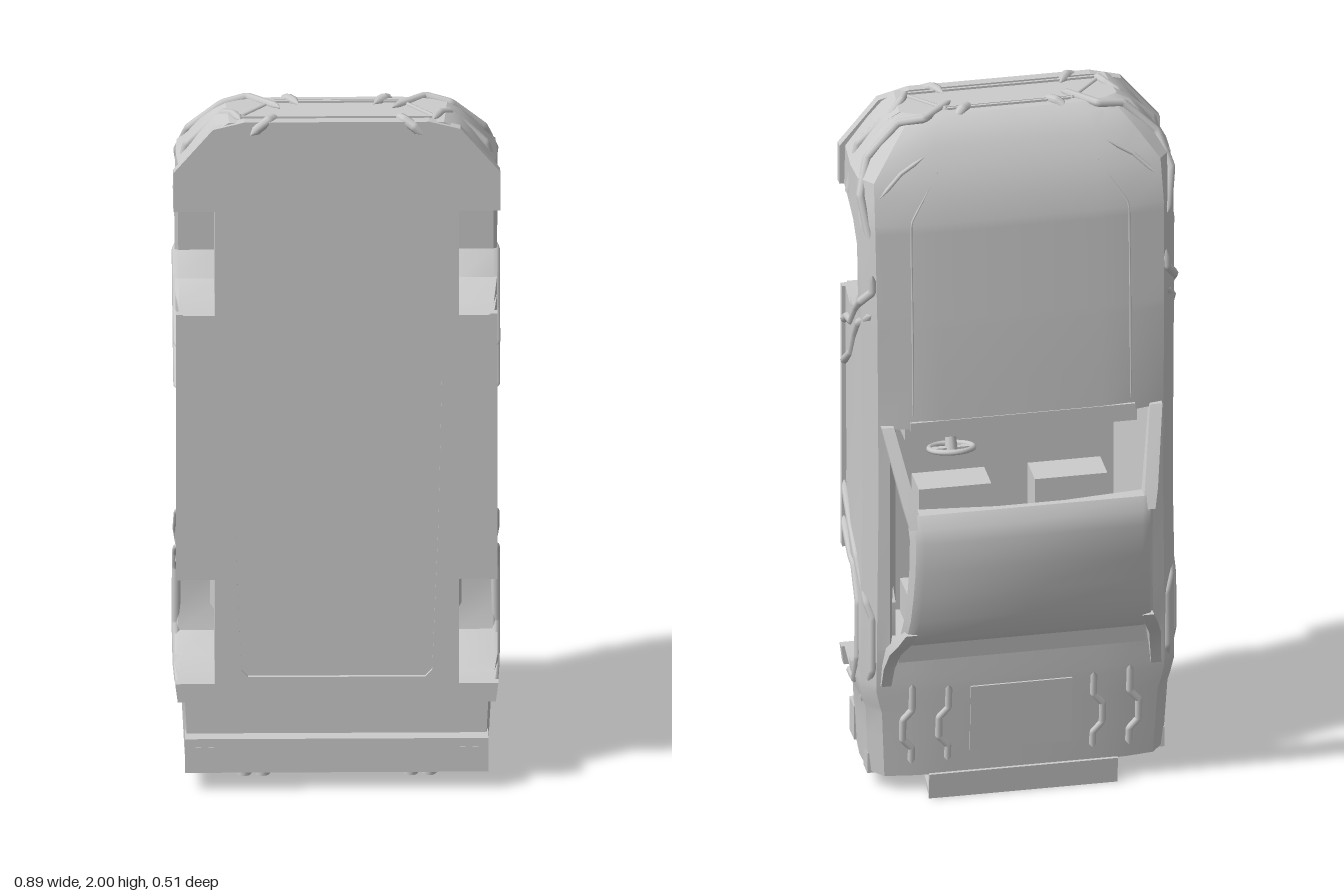
import * as THREE from 'three';
import { toCreasedNormals } from 'three/addons/utils/BufferGeometryUtils.js';

const mat = new THREE.MeshStandardMaterial({ color: 0xcccccc, side: THREE.DoubleSide });

// linear lookup in a table of [key, value]
function look(table, k) {
  for (let i = 1; i < table.length; i++) {
    const [k0, v0] = table[i - 1], [k1, v1] = table[i];
    if (k <= k1) return v0 + (v1 - v0) * Math.max(0, (k - k0) / (k1 - k0));
  }
  return table[table.length - 1][1];
}

// skin over closed rings of equal length, with both ends closed
function loft(rings, crease) {
  const centre = (r) => {
    const c = r[0].map((v, k) => (v + r[r.length / 2][k]) / 2);
    return r.map(() => c);
  };
  const all = [centre(rings[0]), ...rings, centre(rings[rings.length - 1])];
  const pos = [];
  const V = (p) => new THREE.Vector3(...p);
  const tri = (a, b, c) => {
    const area = V(b).sub(V(a)).cross(V(c).sub(V(a))).length();
    if (area > 1e-7) pos.push(...a, ...b, ...c);
  };
  for (let j = 0; j + 1 < all.length; j++) {
    const n = all[j].length;
    for (let i = 0; i < n; i++) {
      const k = (i + 1) % n;
      tri(all[j][i], all[j][k], all[j + 1][k]);
      tri(all[j][i], all[j + 1][k], all[j + 1][i]);
    }
  }
  const g = new THREE.BufferGeometry();
  g.setAttribute('position', new THREE.Float32BufferAttribute(pos, 3));
  return toCreasedNormals(g, crease);
}

// half outline (x >= 0) turned into a full ring at height y
const mirrorRing = (half, y) => [
  ...half.map(([x, z]) => [x, y, z]),
  ...half.slice(1, -1).reverse().map(([x, z]) => [-x, y, z]),
];

// straight-legged tube along a bent path, drawn to points at both ends
function tube(points, r, taper = 25) {
  const curve = new THREE.CatmullRomCurve3(points.map((p) => new THREE.Vector3(...p)), false, 'catmullrom', 0.04);
  const seg = points.length * 10, rad = 8;
  const g = new THREE.TubeGeometry(curve, seg, r, rad);
  const p = g.attributes.position, v = new THREE.Vector3();
  for (let i = 0; i <= seg; i++) {
    const t = i / seg, c = curve.getPointAt(t);
    const s = Math.min(1, taper * Math.min(t, 1 - t));
    for (let j = 0; j <= rad; j++) {
      const k = i * (rad + 1) + j;
      v.fromBufferAttribute(p, k).sub(c).multiplyScalar(s).add(c);
      p.setXYZ(k, v.x, v.y, v.z);
    }
  }
  return g;
}

// body outlines along the length
const WIDTH = [[0.05, 0.41], [0.25, 0.42], [0.31, 0.437], [0.63, 0.435], [0.9, 0.432], [1.4, 0.435], [1.73, 0.438], [1.84, 0.435], [1.92, 0.375], [1.965, 0.335], [1.985, 0.3]];
const DECK = [[0.05, -0.062], [0.33, -0.085], [0.45, -0.09], [1.12, -0.102], [1.4, -0.094], [1.73, -0.074], [1.84, -0.042], [1.92, 0.0], [1.965, 0.035], [1.985, 0.065]];
const BELLY = [[0.05, 0.2], [0.25, 0.2], [0.27, 0.23], [1.985, 0.23]];
const LOW = 9; // marks a station without a wheel opening

function section([y, arch = LOW, cabin = 0]) {
  const w = look(WIDTH, y), d = look(DECK, y), b = look(BELLY, y);
  const a = Math.min(arch, b), s = Math.max(d + 0.016, -0.076);
  const z4 = Math.min(0.1, a - 0.005), z5 = Math.min(z4, s + 0.045);
  const inner = Math.min(0.33, w - 0.04);
  const top = cabin
    ? [[0.362, -0.084], [0.3, 0.15], [0, 0.15]]
    : [[Math.min(0.3, w - 0.08), d + 0.006], [Math.min(0.22, w - 0.13), d], [0, d]];
  return mirrorRing([[0, b], [inner, b], [inner, a], [w - 0.01, a], [w, z4], [w - 0.004, z5], [w - 0.04, s], ...top], y);
}

// point on the flank at height y and depth z
const flank = ([z, y]) => [look(WIDTH, y) - 0.004 - (z < -0.03 ? (-0.03 - z) * 0.9 : 0), y, z];

export function createModel() {
  const car = new THREE.Group();
  car.name = 'car';
  const add = (name, geo, x = 0, y = 0, z = 0) => {
    const m = new THREE.Mesh(geo, mat);
    m.name = name;
    m.position.set(x, y, z);
    car.add(m);
    return m;
  };
  const box = (name, x, y, z, w, h, d) => add(name, new THREE.BoxGeometry(w, h, d), x, y, z);
  const tubePair = (name, pts, r, taper) => {
    for (const s of [1, -1]) add(name, tube(pts.map(([x, y, z]) => [s * x, y, z]), r, taper));
  };

  // body shell with wheel openings and open cabin: [y, arch z, cabin flag]
  const stations = [
    [0.05], [0.16], [0.25], [0.27], [0.32], [0.32, 0.16], [0.34, 0.09], [0.38, 0.02], [0.45, 0],
    [0.45, 0, 1], [0.55, 0, 1], [0.6, 0.05, 1], [0.62, 0.1, 1], [0.63, 0.16, 1], [0.63, LOW, 1],
    [0.9, LOW, 1], [1.12, LOW, 1], [1.12], [1.25], [1.415], [1.415, 0.16], [1.44, 0.05], [1.5, -0.005],
    [1.65, 0], [1.7, 0.05], [1.725, 0.16], [1.725], [1.79], [1.84], [1.88], [1.92], [1.965], [1.985],
  ];
  add('bodyShell', loft(stations.map(section), 0.4));

  // underside frame around the sunken floor
  const half = [[0.43, 0.265], [0.437, 0.32], [0.33, 0.32], [0.33, 0.63], [0.416, 0.63], [0.416, 1.415], [0.33, 1.415],
    [0.33, 1.725], [0.442, 1.725], [0.442, 1.84], [0.335, 1.968], [0.25, 1.99]];
  const outline = (h) => [...h, ...h.slice().reverse().map(([x, y]) => [-x, y])].map((p) => new THREE.Vector2(...p));
  const frame = new THREE.Shape(outline(half));
  frame.holes.push(new THREE.Path(outline([[0.24, 0.34], [0.258, 0.36], [0.275, 0.8], [0.284, 1.22], [0.275, 1.5], [0.265, 1.81], [0.25, 1.83]])));
  add('undersideFrame', new THREE.ExtrudeGeometry(frame, { depth: 0.026, bevelEnabled: false }), 0, 0, 0.214);
  for (const s of [1, -1]) box('sill', s * 0.424, 1.02, 0.222, 0.022, 0.79, 0.022);

  // roof shell
  const roof = [[0.505, -0.175, 0.35], [0.53, -0.195, 0.348], [0.6, -0.222, 0.342], [0.68, -0.24, 0.338],
    [0.76, -0.252, 0.335], [0.85, -0.258, 0.335], [0.89, -0.25, 0.338], [0.925, -0.23, 0.342]];
  add('roof', loft(roof.map(([y, z, h]) => mirrorRing(
    [[0, z + 0.018], [h - 0.045, z + 0.019], [h - 0.028, z + 0.04], [h, z + 0.036], [h - 0.012, z + 0.01], [h - 0.035, z], [0, z]], y)), 0.7));

  // windscreen and rear pillars, as four-cornered bars
  const pillar = (name, pts) => {
    for (const s of [1, -1]) {
      const rings = pts.map(([x, y, z, w, d]) => [[-w, d], [w, d], [w, -d], [-w, -d]].map(([u, v]) => [s * x + u, y, z + v]));
      add(name, loft(rings, 0.6));
    }
  };
  pillar('frontPillar', [[0.32, 0.89, -0.224, 0.018, 0.02], [0.332, 0.94, -0.198, 0.018, 0.02], [0.37, 1.13, -0.082, 0.017, 0.012]]);
  pillar('rearPillar', [[0.372, 0.34, -0.078, 0.014, 0.005], [0.367, 0.4, -0.086, 0.015, 0.012],
    [0.358, 0.46, -0.112, 0.016, 0.024], [0.34, 0.51, -0.16, 0.018, 0.022], [0.326, 0.55, -0.192, 0.016, 0.014]]);
  box('cowl', 0, 1.13, -0.1, 0.62, 0.025, 0.008);
  const shelf = box('rearShelf', 0, 0.45, -0.087, 0.68, 0.07, 0.022);
  shelf.rotation.x = -0.15;

  // cabin
  for (const s of [1, -1]) {
    box('seatCushion', s * 0.16, 0.76, 0.08, 0.2, 0.22, 0.1);
    box('seatBack', s * 0.16, 0.63, 0.0, 0.2, 0.06, 0.17);
    box('headrest', s * 0.205, 0.63, -0.1, 0.16, 0.05, 0.034);
  }
  box('rearBench', 0, 0.5, 0.04, 0.58, 0.1, 0.2);
  box('dashboard', 0, 1.1, -0.01, 0.64, 0.04, 0.14);
  const wheel = add('steeringWheel', new THREE.TorusGeometry(0.06, 0.008, 8, 28), 0.19, 1.04, -0.068);
  wheel.rotation.x = Math.PI / 2 + 0.25;
  const column = add('steeringColumn', new THREE.CylinderGeometry(0.012, 0.018, 0.08, 10), 0.19, 1.07, -0.058);
  column.rotation.x = 0.25;
  box('steeringSpoke', 0.19, 1.04, -0.068, 0.115, 0.008, 0.014);

  // raised ribs on the flanks, as [z, y] paths
  const ribs = [
    [[0.22, 1.31], [0.16, 1.35], [0.1, 1.365], [0.03, 1.44], [-0.03, 1.49], [-0.06, 1.53], [-0.06, 1.58]],
    [[0.22, 1.185], [0.1, 1.27], [0.05, 1.35], [0, 1.41], [-0.06, 1.46]],
    [[0.22, 0.83], [0.12, 0.75], [0.03, 0.69], [-0.045, 0.58], [-0.06, 0.54], [-0.06, 0.38], [0.04, 0.235]],
    [[0.22, 0.72], [0.1, 0.65], [0.06, 0.645], [0.0, 0.565], [0.0, 0.4], [0.06, 0.3], [0.17, 0.28]],
  ];
  ribs.forEach((r) => tubePair('flankRib', r.map(flank), 0.012));

  // ribs and fangs of the nose
  tubePair('noseRib', [[0.41, 1.68, -0.045], [0.428, 1.8, -0.005], [0.4, 1.885, 0.045], [0.31, 1.968, 0.07], [0.24, 1.982, 0.055], [0.15, 1.987, 0.14]], 0.012);
  tubePair('noseRib', [[0.435, 1.73, 0.13], [0.405, 1.88, 0.14], [0.31, 1.97, 0.135], [0.28, 1.985, 0.17], [0.26, 1.985, 0.215]], 0.012);
  tubePair('upperFang', [[0.155, 1.97, 0.06], [0.13, 1.988, 0.08], [0.1, 1.985, 0.115]], 0.014, 4);
  tubePair('lowerFang', [[0.16, 1.985, 0.185], [0.185, 1.988, 0.225], [0.21, 1.975, 0.24], [0.235, 1.95, 0.24]], 0.014, 5);
  tubePair('headlight', [[0.25, 1.9, -0.008], [0.32, 1.86, -0.022], [0.385, 1.8, -0.045]], 0.006, 5);

  // grille frame and bars
  tubePair('grilleSide', [[0.17, 1.985, 0.09], [0.27, 1.985, 0.2]], 0.006);
  for (const [z, w] of [[0.09, 0.17], [0.1, 0.18], [0.2, 0.27]]) box('grilleBar', 0, 1.986, z, 2 * w, 0.01, 0.007);

  // hood edge lines
  tubePair('hoodCrease', [[0.3, 1.14, -0.094], [0.3, 1.4, -0.087], [0.3, 1.73, -0.067], [0.22, 1.86, -0.032]], 0.003);

  // tail: bumper, lights, exhausts, lip and boot lid
  box('rearBumper', 0, 0.105, 0.205, 0.82, 0.1, 0.065);
  box('tailPanel', 0, 0.055, 0.09, 0.66, 0.02, 0.1);
  for (const s of [1, -1]) {
    for (const x of [0.34, 0.375]) box('bumperTab', s * x, 0.095, 0.21, 0.015, 0.07, 0.062);
    box('tailLight', s * 0.33, 0.075, 0.015, 0.16, 0.06, 0.05);
    for (const x of [0.2, 0.25]) {
      add('exhaust', new THREE.CylinderGeometry(0.02, 0.02, 0.05, 14, 1, true), s * x, 0.055, 0.185);
    }
  }
  const lip = box('tailLip', 0, 0.036, -0.058, 0.52, 0.012, 0.1);
  lip.rotation.x = -0.36;
  const lipEdge = box('tailLipEdge', 0, 0.04, -0.108, 0.52, 0.076, 0.008);
  lipEdge.rotation.x = -0.1;
  const lid = box('bootLid', 0, 0.22, -0.077, 0.28, 0.2, 0.008);
  lid.rotation.x = -0.082;
  for (const [x, top] of [[0.2, 0.33], [0.3, 0.34]]) {
    const z = (y) => look(DECK, y) + 0.001;
    tubePair('tailRib', [[x, top], [x, 0.26], [x + 0.025, 0.23], [x + 0.025, 0.17], [x, 0.14], [x, 0.09]].map(([u, y]) => [u, y, z(y)]), 0.01);
  }
  return car;
}
